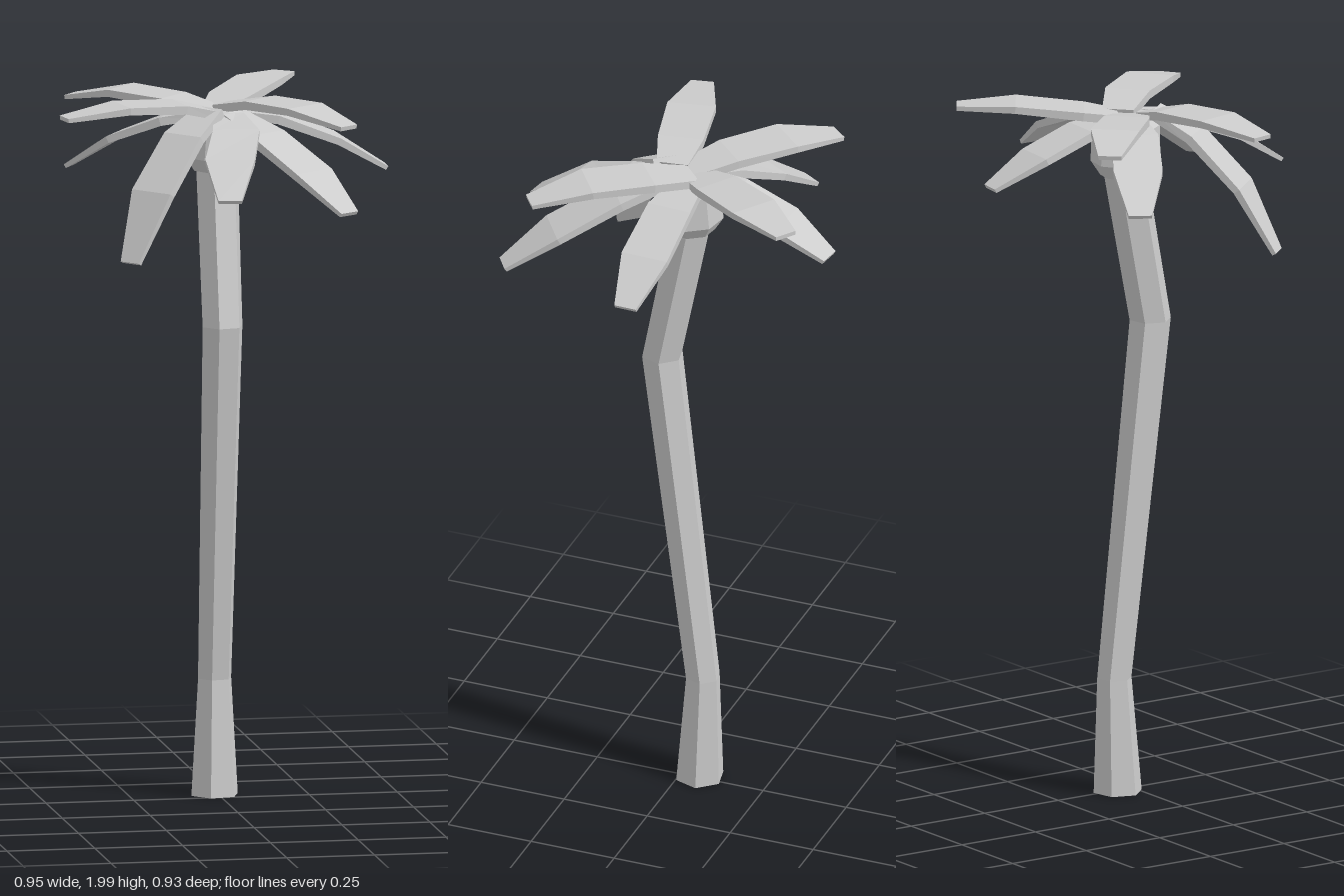
import * as THREE from 'three';

const material = new THREE.MeshStandardMaterial({ color: 0xcccccc, flatShading: true });

// Skins a list of equal-length rings and closes both ends
function loft(rings) {
  const pos = [];
  const tri = (...pts) => pts.forEach((p) => pos.push(p.x, p.y, p.z));
  const n = rings[0].length;
  for (let r = 0; r < rings.length - 1; r++) {
    const a = rings[r], b = rings[r + 1];
    for (let i = 0; i < n; i++) {
      const j = (i + 1) % n;
      tri(a[i], b[i], a[j]);
      tri(a[j], b[i], b[j]);
    }
  }
  const first = rings[0], last = rings[rings.length - 1];
  for (let i = 1; i < n - 1; i++) {
    tri(first[0], first[i], first[i + 1]);
    tri(last[0], last[i + 1], last[i]);
  }
  const geometry = new THREE.BufferGeometry();
  geometry.setAttribute('position', new THREE.Float32BufferAttribute(pos, 3));
  geometry.computeVertexNormals();
  return geometry;
}

// Horizontal polygon ring: centre x, y, z and radius
function ring([x, y, z, r], sides) {
  return Array.from({ length: sides }, (_, i) => {
    const a = (i / sides) * Math.PI * 2 - 0.2;
    return new THREE.Vector3(x + r * Math.cos(a), y, z + r * Math.sin(a));
  });
}

// Thin leaf blade following four spine points
function frond(points) {
  const spine = points.map((p) => new THREE.Vector3(...p));
  const widths = [0.09, 0.13, 0.138, 0.065];
  const thick = [0.012, 0.012, 0.01, 0.006];
  const up = new THREE.Vector3(0, 1, 0);
  const rings = spine.map((p, i) => {
    const prev = spine[Math.max(i - 1, 0)], next = spine[Math.min(i + 1, spine.length - 1)];
    const dir = next.clone().sub(prev).normalize();
    const side = up.clone().cross(dir).normalize();
    const normal = dir.clone().cross(side);
    return [[-1, 1], [1, 1], [1, -1], [-1, -1]].map(([s, t]) =>
      p.clone().addScaledVector(side, s * widths[i] / 2).addScaledVector(normal, t * thick[i]));
  });
  return loft(rings);
}

export function createModel() {
  const group = new THREE.Group();
  const add = (name, geometry) => {
    const mesh = new THREE.Mesh(geometry, material);
    mesh.name = name;
    group.add(mesh);
  };

  // Bent six-sided trunk
  add('trunk', loft([
    [-0.01, 0, -0.055, 0.07],
    [-0.008, 0.33, -0.065, 0.05],
    [-0.008, 1.35, 0.057, 0.06],
    [-0.008, 1.84, -0.038, 0.063],
  ].map((s) => ring(s, 6))));

  // Bulb where the leaves meet
  add('crown', loft([
    [-0.008, 1.78, -0.03, 0.068],
    [-0.005, 1.82, -0.025, 0.098],
    [0, 1.92, -0.02, 0.095],
    [0, 1.955, -0.02, 0.06],
  ].map((s) => ring(s, 8))));

  // Upper leaves, nearly level
  const upper = [
    [[0.0, 1.95, -0.05], [0.05, 1.965, -0.13], [0.16, 1.985, -0.285], [0.255, 1.98, -0.42]],
    [[-0.02, 1.945, -0.01], [-0.12, 1.97, -0.1], [-0.245, 1.98, -0.225], [-0.37, 1.95, -0.33]],
    [[-0.03, 1.95, 0.035], [-0.13, 1.975, 0.05], [-0.3, 1.983, 0.085], [-0.47, 1.962, 0.12]],
    [[0.01, 1.955, -0.04], [0.1, 1.98, 0.055], [0.2, 1.983, 0.2], [0.3, 1.95, 0.335]],
  ];
  upper.forEach((p, i) => add('upperLeaf' + (i + 1), frond(p)));

  // Lower leaves, drooping
  const lower = [
    [[0.03, 1.94, -0.04], [0.16, 1.925, -0.032], [0.33, 1.86, -0.025], [0.47, 1.775, -0.022]],
    [[-0.01, 1.94, -0.06], [0.0, 1.925, -0.17], [0.01, 1.87, -0.32], [0.03, 1.795, -0.46]],
    [[-0.04, 1.94, -0.04], [-0.14, 1.92, -0.085], [-0.27, 1.86, -0.165], [-0.39, 1.77, -0.24]],
    [[-0.04, 1.96, 0.05], [-0.13, 1.9, 0.125], [-0.235, 1.76, 0.215], [-0.31, 1.575, 0.28]],
    [[0.01, 1.94, 0.04], [0.01, 1.915, 0.17], [-0.035, 1.86, 0.32], [-0.06, 1.77, 0.455]],
    [[0.03, 1.94, 0.04], [0.1, 1.9, 0.15], [0.205, 1.815, 0.3], [0.285, 1.72, 0.42]],
  ];
  lower.forEach((p, i) => add('lowerLeaf' + (i + 1), frond(p)));

  return group;
}
